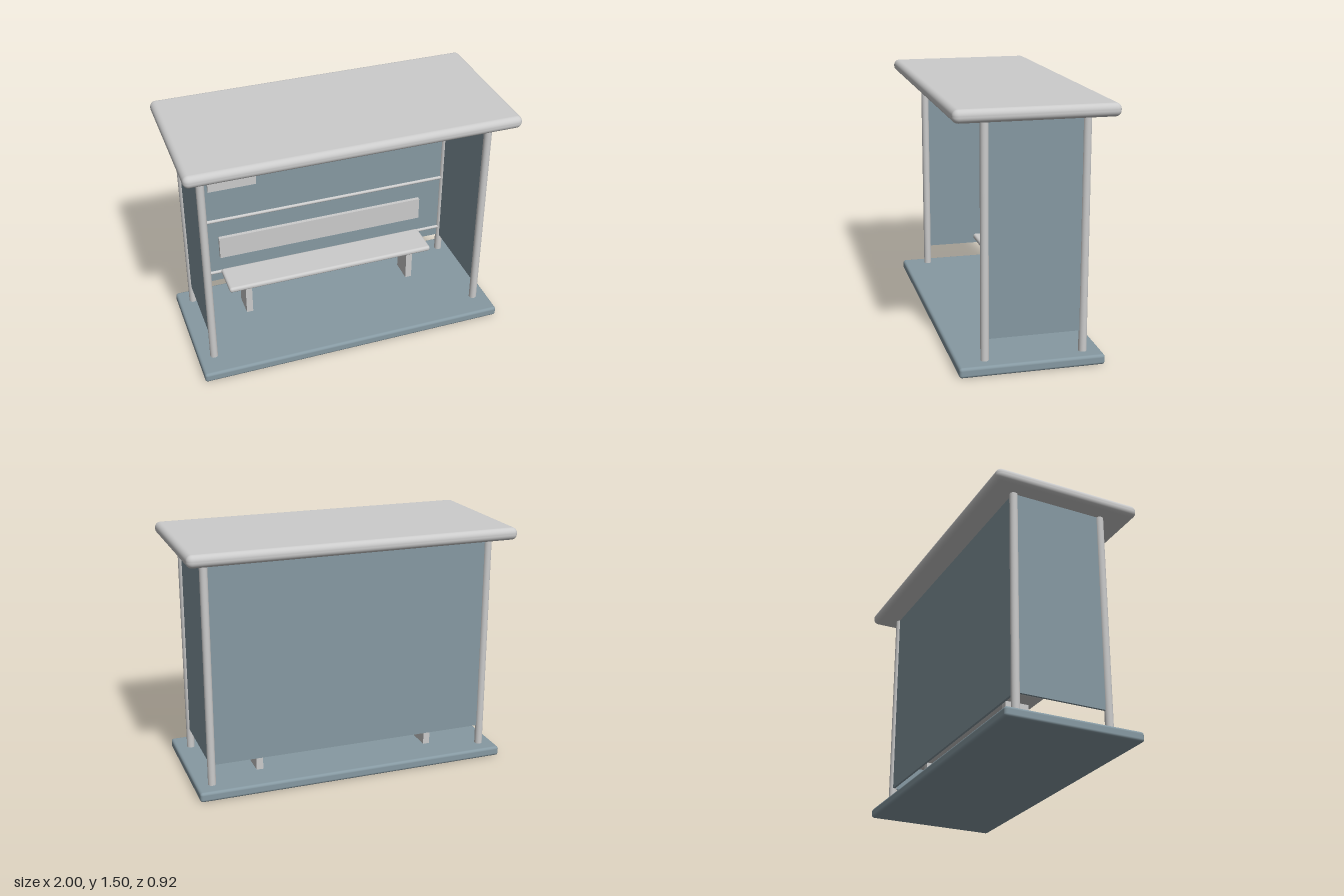
import * as THREE from 'three';
import { RoundedBoxGeometry } from 'three/addons/geometries/RoundedBoxGeometry.js';

export function createModel() {
  const model = new THREE.Group();
  model.name = 'shelter';
  const grey = new THREE.MeshStandardMaterial({ color: 0xcccccc });
  const slate = new THREE.MeshStandardMaterial({ color: 0x8699a2 });

  const add = (name, geometry, material, x, y, z, parent = model) => {
    const mesh = new THREE.Mesh(geometry, material);
    mesh.name = name;
    mesh.position.set(x, y, z);
    parent.add(mesh);
    return mesh;
  };
  const box = (w, h, d) => new THREE.BoxGeometry(w, h, d);

  const postX = 0.878, frontZ = 0.268, backZ = -0.303;
  const panelBottom = 0.185, roofBottom = 1.42;
  const panelHeight = roofBottom - panelBottom;
  const panelY = (roofBottom + panelBottom) / 2;

  // Base slab and roof with rounded edges
  add('base', new RoundedBoxGeometry(1.945, 0.06, 0.84, 3, 0.017), slate, 0, 0.03, 0.01);
  add('roof', new RoundedBoxGeometry(2, 0.075, 0.92, 5, 0.034), grey, 0, 1.458, 0);

  // Corner posts and side panels
  const postGeometry = new THREE.CylinderGeometry(0.024, 0.024, 1.38, 24);
  for (const side of [-1, 1]) {
    add('frontPost', postGeometry, grey, side * postX, 0.74, frontZ);
    add('backPost', postGeometry, grey, side * postX, 0.74, backZ);
    add('sidePanel', box(0.014, panelHeight, frontZ - backZ - 0.02), slate,
      side * postX, panelY, (frontZ + backZ) / 2);
  }

  // Back panel with horizontal rails on its inner face
  add('backPanel', box(2 * postX - 0.02, panelHeight, 0.014), slate, 0, panelY, backZ);
  const railGeometry = new THREE.CylinderGeometry(0.011, 0.011, 2 * postX, 16).rotateZ(Math.PI / 2);
  for (const y of [0.252, 0.655, 1.265]) add('rail', railGeometry, grey, 0, y, backZ + 0.008);

  // Bench: seat, backrest and two legs
  const bench = new THREE.Group();
  bench.name = 'bench';
  model.add(bench);
  add('seat', new RoundedBoxGeometry(1.375, 0.036, 0.23, 4, 0.016), grey, 0, 0.292, -0.135, bench);
  add('backrest', box(1.375, 0.152, 0.024), grey, 0, 0.477, -0.25, bench);
  for (const side of [-1, 1])
    add('benchLeg', box(0.042, 0.225, 0.145), grey, side * 0.555, 0.1675, -0.135, bench);

  // Notice board with raised bars
  const board = new THREE.Group();
  board.name = 'noticeBoard';
  board.position.set(-0.573, 1.077, -0.287);
  model.add(board);
  add('boardPlate', box(0.31, 0.376, 0.018), grey, 0, 0, 0, board);
  const bars = [[0.205, 0.108, 0.014], [0.205, 0.031, 0.014], [0.13, -0.046, 0.012], [0.165, -0.126, 0.009]];
  for (const [w, y, h] of bars) add('boardBar', box(w, h, 0.008), grey, 0, y, 0.01, board);

  return model;
}
